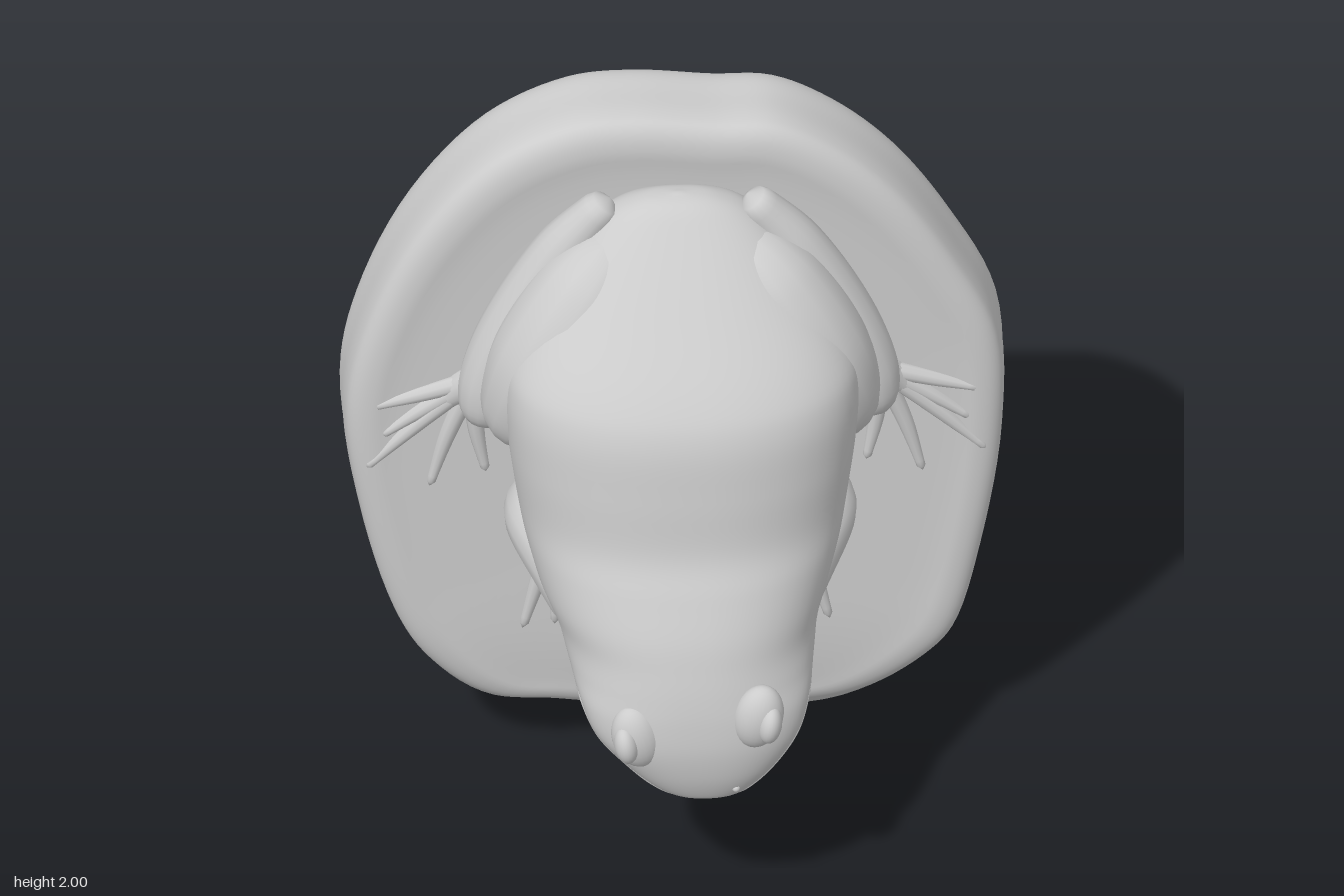
import * as THREE from 'three';
import { mergeVertices } from 'three/addons/utils/BufferGeometryUtils.js';
import { ParametricGeometry } from 'three/addons/geometries/ParametricGeometry.js';

const material = new THREE.MeshStandardMaterial({ color: 0xcccccc, roughness: 0.8 });
const V = (x, y, z) => new THREE.Vector3(x, y, z);

function weld(geo) {
  geo.deleteAttribute('uv');
  geo.deleteAttribute('normal');
  const welded = mergeVertices(geo, 1e-4);
  welded.computeVertexNormals();
  return welded;
}

function add(group, name, geo) {
  const mesh = new THREE.Mesh(geo, material);
  mesh.name = name;
  group.add(mesh);
  return mesh;
}

// Smooth closed tube through [x, y, z, radius] points with rounded ends
function limb(points, rings = 40, sides = 16) {
  const path = new THREE.CatmullRomCurve3(points.map(p => V(p[0], p[1], p[2])));
  const radii = new THREE.SplineCurve(points.map((p, i) => new THREE.Vector2(i, p[3])));
  const geo = new THREE.TubeGeometry(path, rings, 1, sides);
  const pos = geo.attributes.position;
  const length = path.getLength();
  const v = V(0, 0, 0), c = V(0, 0, 0);
  for (let i = 0; i <= rings; i++) {
    const t = i / rings;
    path.getPointAt(t, c);
    let r = radii.getPoint(path.getUtoTmapping(t)).y;
    const end = Math.min(1, Math.min(t, 1 - t) * length / r);
    r *= Math.sqrt(Math.max(0, 1 - (1 - end) ** 2));
    for (let j = 0; j <= sides; j++) {
      const k = i * (sides + 1) + j;
      v.fromBufferAttribute(pos, k).sub(c).multiplyScalar(r).add(c);
      pos.setXYZ(k, v.x, v.y, v.z);
    }
  }
  return weld(geo);
}

// Body cross-sections from rump to snout: y, front z, back z, half width, centre x
const SECTIONS = [
  [1.873, -0.15, -0.15, 0, 0], [1.857, -0.1, -0.2, 0.1, 0], [1.8, -0.04, -0.25, 0.2, 0],
  [1.65, 0.1, -0.29, 0.33, 0], [1.5, 0.235, -0.31, 0.42, 0], [1.4, 0.29, -0.32, 0.44, 0],
  [1.25, 0.315, -0.32, 0.43, 0], [1.1, 0.335, -0.32, 0.41, 0], [1.0, 0.38, -0.31, 0.39, 0],
  [0.9, 0.425, -0.28, 0.36, 0], [0.82, 0.45, -0.19, 0.325, 0.005], [0.75, 0.468, -0.04, 0.305, 0.01],
  [0.68, 0.48, 0.13, 0.285, 0.015], [0.6, 0.485, 0.205, 0.255, 0.02], [0.52, 0.475, 0.27, 0.19, 0.03],
  [0.46, 0.455, 0.32, 0.125, 0.035], [0.435, 0.435, 0.35, 0.075, 0.04], [0.427, 0.395, 0.395, 0, 0.04],
];
const depths = new THREE.CatmullRomCurve3(SECTIONS.map(s => V(s[0], s[1], s[2])), false, 'catmullrom', 0.5);
const widths = new THREE.CatmullRomCurve3(SECTIONS.map(s => V(s[3], s[4], 0)), false, 'catmullrom', 0.5);
const rounded = (c, power) => Math.sign(c) * Math.abs(c) ** power;

// Superellipse sections, fuller on the belly side
function bodySurface(u, v, target) {
  const d = depths.getPoint(v), w = widths.getPoint(v);
  const a = u * Math.PI * 2, sin = Math.sin(a);
  return target.set(
    w.y + w.x * rounded(Math.cos(a), sin < 0 ? 0.72 : 0.88), d.x,
    (d.y + d.z) / 2 + (d.y - d.z) / 2 * rounded(sin, 0.9));
}

// Irregular stone outline, counter-clockwise from the bottom
const OUTLINE = [
  [0.01, 0], [0.12, 0.03], [0.36, 0.05], [0.46, 0.1], [0.62, 0.27], [0.69, 0.38], [0.76, 0.65], [0.81, 1],
  [0.8, 1.3], [0.69, 1.54], [0.55, 1.75], [0.4, 1.89], [0.25, 1.97], [0.1, 1.98], [-0.1, 2], [-0.26, 1.985],
  [-0.46, 1.88], [-0.65, 1.65], [-0.78, 1.35], [-0.82, 1.12], [-0.78, 0.8], [-0.7, 0.5],
  [-0.61, 0.32], [-0.45, 0.135], [-0.3, 0.105], [-0.17, 0.07],
];
// Stone rim profile: scale of the outline, z
const RIM = [[0, -0.515], [0.6, -0.515], [0.93, -0.52], [0.98, -0.51], [1, -0.47], [1, -0.4],
  [0.998, -0.32], [0.98, -0.275], [0.92, -0.255], [0.8, -0.262], [0.4, -0.265], [0, -0.265]];

function stone() {
  const outline = new THREE.CatmullRomCurve3(OUTLINE.map(p => V(p[0], p[1], 0)), true);
  const rim = new THREE.SplineCurve(RIM.map(p => new THREE.Vector2(...p)));
  return weld(new ParametricGeometry((u, v, target) => {
    const o = outline.getPoint(u % 1), r = rim.getPoint(v);
    let y = 1 + (o.y - 1) * r.x;
    // the lower front edge curves back in a soft slope
    const front = THREE.MathUtils.clamp((r.y + 0.5) / 0.22, 0, 1);
    const low = Math.max(0, 1 - y / 0.5) ** 2;
    y += 0.13 * front ** 1.6 * low;
    target.set(o.x * r.x, y, r.y - 0.06 * front * low);
  }, 156, 55));
}

export function createModel() {
  const model = new THREE.Group();
  model.name = 'frogOnStone';
  add(model, 'stone', stone());
  add(model, 'body', weld(new ParametricGeometry(bodySurface, 64, 102)));

  for (const s of [1, -1]) {
    const side = s > 0 ? 'left' : 'right';
    const mirror = pts => pts.map(([x, y, z, r]) => [s * x, y, z, r]);

    // Folded hind leg with splayed toes
    const leg = new THREE.Group();
    leg.name = side + 'HindLeg';
    add(leg, 'thigh', limb(mirror([[0.12, 1.77, -0.14, 0.08], [0.22, 1.62, -0.09, 0.14],
      [0.32, 1.43, -0.06, 0.155], [0.385, 1.28, -0.07, 0.115], [0.41, 1.17, -0.11, 0.05]])));
    add(leg, 'shin', limb(mirror([[0.17, 1.86, -0.15, 0.045], [0.29, 1.7, -0.155, 0.068],
      [0.405, 1.47, -0.15, 0.085], [0.465, 1.31, -0.14, 0.08], [0.485, 1.185, -0.13, 0.058]])));
    add(leg, 'foot', limb(mirror([[0.45, 1.25, -0.215, 0.05], [0.52, 1.21, -0.262, 0.045], [0.6, 1.14, -0.275, 0.025]])));
    for (const [x, y] of [[0.75, 1.15], [0.73, 1.06], [0.77, 0.96], [0.61, 0.9], [0.47, 0.94]])
      add(leg, 'toe', limb(mirror([[0.5, 1.23, -0.258, 0.026],
        [(0.52 + x) / 2, (1.22 + y) / 2, -0.264, 0.021], [x, y, -0.264, 0.011]]), 20, 10));
    model.add(leg);

    // Bent arm with spread fingers
    const arm = new THREE.Group();
    arm.name = side + 'Arm';
    add(arm, 'upperAndForearm', limb(mirror([[0.19, 0.82, 0.2, 0.11], [0.275, 0.895, 0.08, 0.1],
      [0.35, 0.95, -0.05, 0.085], [0.345, 0.925, -0.16, 0.075], [0.28, 0.8, -0.25, 0.065], [0.265, 0.72, -0.28, 0.04]])));
    for (const [x, y] of [[0.16, 0.41], [0.24, 0.45], [0.3, 0.46], [0.38, 0.45]])
      add(arm, 'finger', limb(mirror([[0.28, 0.82, -0.25, 0.03],
        [(0.29 + x) / 2, (0.8 + y) / 2, -0.261, 0.022], [x, y, -0.265, 0.011]]), 20, 10));
    model.add(arm);

    // Outward-facing eye set in a low bulge
    const eyeY = s > 0 ? 0.7 : 0.64, eyeX = s > 0 ? 0.17 : -0.14, eyeZ = s > 0 ? 0.475 : 0.46;
    const lid = add(model, side + 'EyeLid', new THREE.SphereGeometry(1, 24, 16));
    lid.scale.set(0.062, 0.09, 0.05);
    lid.position.set(eyeX - s * 0.005, eyeY, eyeZ - 0.02);
    lid.rotation.z = s * -0.2;
    const eye = add(model, side + 'Eye', new THREE.SphereGeometry(1, 24, 16));
    eye.scale.set(0.03, 0.052, 0.042);
    eye.position.set(eyeX + s * 0.022, eyeY - 0.005, eyeZ + 0.008);
    eye.rotation.z = s * -0.15;

    const nostril = add(model, side + 'Nostril', new THREE.SphereGeometry(0.01, 12, 8));
    nostril.position.set(0.06 + s * 0.05, 0.475, 0.45);
  }

  // Thin lip line wrapping the snout
  const p = V(0, 0, 0);
  const lipSide = pairs => pairs.map(([u, v]) => [...bodySurface(u, v / 17, p).toArray(), 0.007]);
  add(model, 'lip', limb([
    ...lipSide([[0.98, 11.8], [0.99, 12.4], [0.005, 13.2], [0.015, 14], [0.025, 15], [0.05, 16]]),
    ...lipSide([[0.45, 16], [0.475, 15], [0.485, 14], [0.495, 13.2], [0.51, 12.4], [0.52, 11.8]]),
  ], 80, 8));

  return model;
}
